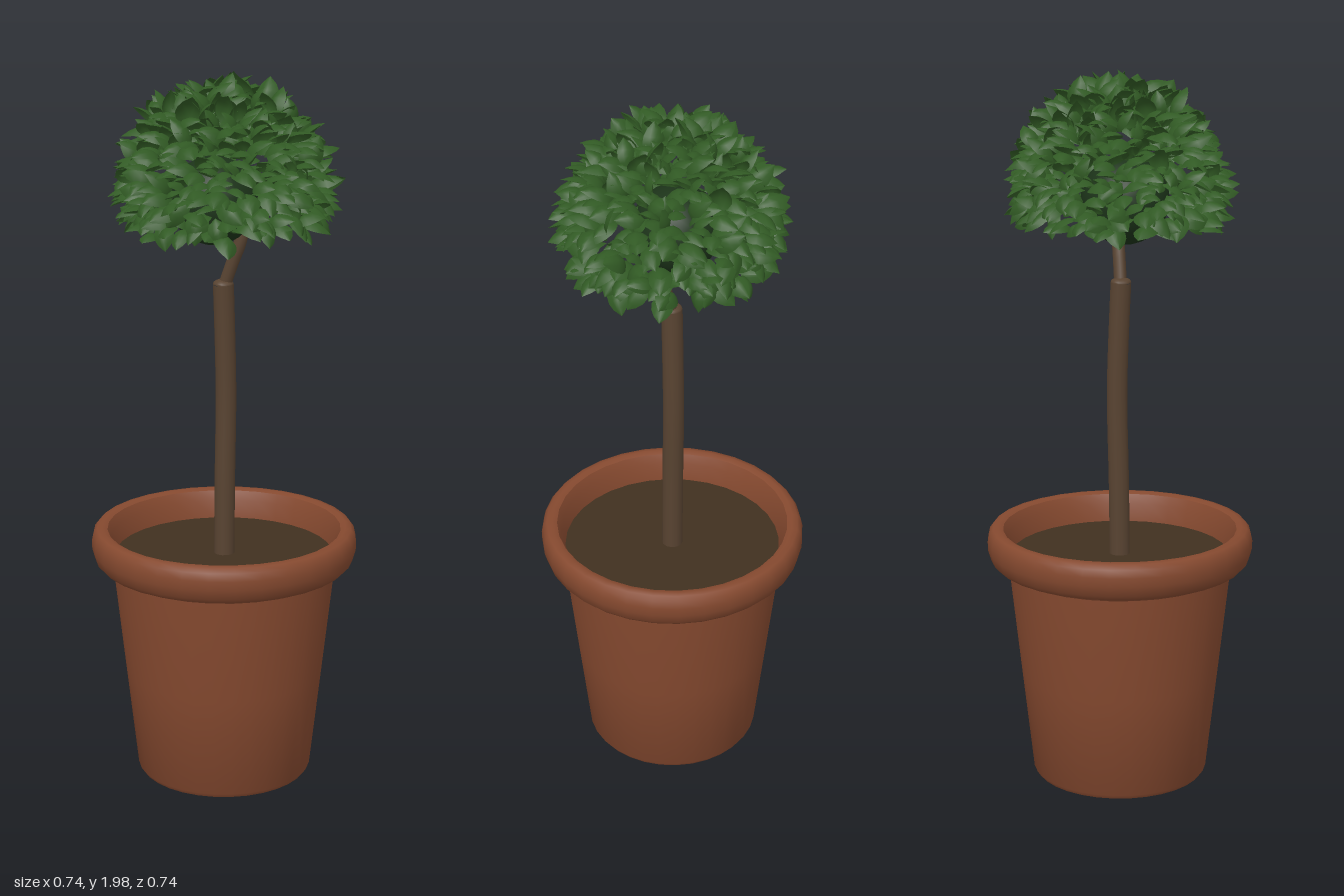
import * as THREE from 'three';
import { mergeGeometries, toCreasedNormals } from 'three/addons/utils/BufferGeometryUtils.js';

const V = (x, y, z) => new THREE.Vector3(x, y, z);

function seeded(seed) {
  return () => {
    seed = (seed * 1664525 + 1013904223) % 4294967296;
    return seed / 4294967296;
  };
}

function part(name, geometry, color, side = THREE.FrontSide) {
  const mesh = new THREE.Mesh(geometry, new THREE.MeshStandardMaterial({ color, side }));
  mesh.name = name;
  return mesh;
}

function lathe(points, sides = 32) {
  const profile = points.map(([r, y]) => new THREE.Vector2(r, y));
  return toCreasedNormals(new THREE.LatheGeometry(profile, sides), 0.7);
}

// Cupped, pointed leaf growing along +y from its base, facing +z
function leafGeometry() {
  const g = new THREE.PlaneGeometry(2, 1, 4, 5);
  const p = g.attributes.position;
  for (let i = 0; i < p.count; i++) {
    const u = p.getX(i), t = p.getY(i) + 0.5;
    const halfWidth = 0.029 * Math.pow(Math.sin(Math.PI * Math.pow(t, 0.85)), 0.75) || 0;
    const bulge = 0.016 * Math.sin(Math.PI * t) * (1 - u * u);
    p.setXYZ(i, u * halfWidth, (t - 0.5) * 0.09, bulge - 0.012 * t * t);
  }
  g.computeVertexNormals();
  return g;
}

// Leaves spread over a dome that is open underneath
function foliageGeometry(center, count) {
  const rand = seeded(7), leaf = leafGeometry(), leaves = [];
  const jitter = (s) => (rand() - 0.5) * 2 * s;
  for (let i = 0; i < count; i++) {
    const y = 1 - 1.36 * (i + 0.5) / count;
    const a = i * 2.39996 + jitter(0.12);
    const r = Math.sqrt(1 - y * y);
    const out = V(r * Math.cos(a), y, r * Math.sin(a));
    const along = out.clone().add(V(jitter(0.65), jitter(0.55), jitter(0.65))).normalize();
    const facing = V(jitter(0.5), 0.8, jitter(0.5)).addScaledVector(out, 0.5);
    const across = V().crossVectors(along, facing).normalize();
    const normal = V().crossVectors(across, along);
    const size = 0.85 + rand() * 0.3;
    const m = new THREE.Matrix4().makeBasis(across, along, normal);
    m.scale(V(size, size, size));
    m.setPosition(out.multiplyScalar(0.235 + rand() * 0.048).add(center));
    leaves.push(leaf.clone().applyMatrix4(m));
  }
  return mergeGeometries(leaves);
}

export function createModel() {
  const tree = new THREE.Group();
  tree.name = 'pottedTree';

  // Pot: tapered body, then a rolled rim turned into the inner wall
  tree.add(part('potBody', lathe([
    [0, 0], [0.237, 0], [0.245, 0.012], [0.277, 0.3], [0.31, 0.6], [0.31, 0.64],
  ]), 0x85492f));
  tree.add(part('potRim', lathe([
    [0.3, 0.605], [0.318, 0.605], [0.325, 0.615], [0.348, 0.618], [0.361, 0.632], [0.369, 0.66],
    [0.37, 0.685], [0.365, 0.707], [0.355, 0.719], [0.34, 0.722], [0.326, 0.716],
    [0.314, 0.69], [0.304, 0.64], [0.3, 0.61],
  ]), 0x85492f));

  const soil = part('soil', new THREE.CylinderGeometry(0.306, 0.3, 0.04, 32), 0x40301f);
  soil.position.y = 0.62;
  tree.add(soil);

  // Slightly bowed trunk with a capped top and a thinner leaning stem
  const trunkPath = new THREE.CatmullRomCurve3([
    V(0, 0.6, 0), V(0.003, 0.85, 0), V(0.008, 1.1, 0), V(0.002, 1.3, 0), V(-0.003, 1.41, 0),
  ]);
  tree.add(part('trunk', new THREE.TubeGeometry(trunkPath, 16, 0.029, 12), 0x584331));
  const cap = part('trunkTop', new THREE.SphereGeometry(0.029, 12, 6, 0, Math.PI * 2, 0, Math.PI / 2), 0x584331);
  cap.position.set(-0.003, 1.41, 0);
  cap.scale.y = 0.5;
  tree.add(cap);
  const stemPath = new THREE.CatmullRomCurve3([
    V(-0.002, 1.4, 0), V(0.008, 1.47, 0.022), V(0.02, 1.55, 0.046), V(0.02, 1.64, 0.03),
  ]);
  tree.add(part('stem', new THREE.TubeGeometry(stemPath, 10, 0.018, 10), 0x584331));

  // Crown: dark inner core inside a shell of leaves
  const core = part('crownCore', new THREE.SphereGeometry(0.12, 20, 14), 0x1c3319);
  core.position.set(-0.02, 1.64, -0.02);
  tree.add(core);
  tree.add(part('leaves', foliageGeometry(V(0, 1.672, 0), 560), 0x315a24, THREE.DoubleSide));

  return tree;
}
